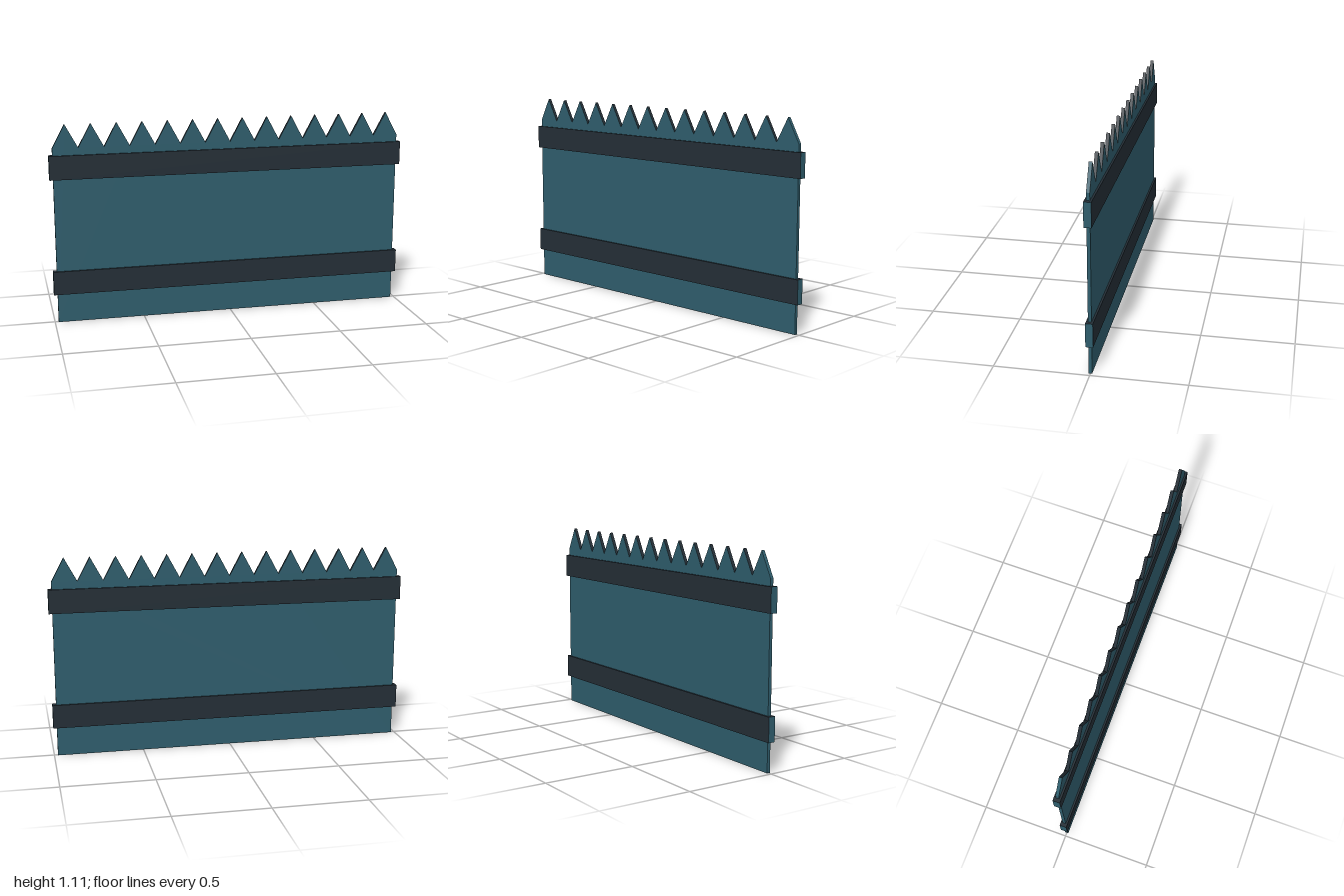
import * as THREE from 'three';

const teal = new THREE.MeshStandardMaterial({ color: 0x2f5d6c });
teal.name = 'teal paint';
const dark = new THREE.MeshStandardMaterial({ color: 0x242e36 });
dark.name = 'dark slate';

const PICKETS = 14, HALF = 0.98, SHOULDER = 0.98, PEAK = 1.11, THICK = 0.018;
const STEP = (2 * HALF) / PICKETS;

// Fence panel with a sawtooth top; the inner slopes of the teeth are dark
function makePanel() {
  const shape = new THREE.Shape();
  shape.moveTo(-HALF, 0);
  shape.lineTo(HALF, 0);
  shape.lineTo(HALF, SHOULDER);
  for (let i = PICKETS - 1; i >= 0; i--) {
    const x = -HALF + i * STEP;
    shape.lineTo(x + STEP / 2, PEAK);
    shape.lineTo(x, SHOULDER);
  }
  shape.closePath();
  const geo = new THREE.ExtrudeGeometry(shape, { depth: THICK, bevelEnabled: false });
  geo.translate(0, 0, -THICK / 2);

  // Choose the colour of each triangle by its direction and place
  const pos = geo.attributes.position, nor = geo.attributes.normal;
  geo.clearGroups();
  for (let i = 0; i < pos.count; i += 3) {
    const cx = (pos.getX(i) + pos.getX(i + 1) + pos.getX(i + 2)) / 3;
    const slope = nor.getY(i) > 0.1 && Math.abs(cx) < HALF - STEP / 2;
    geo.addGroup(i, 3, slope ? 1 : 0);
  }
  const mesh = new THREE.Mesh(geo, [teal, dark]);
  mesh.name = 'picketPanel';
  return mesh;
}

// Dark cross rail with teal ends, standing proud of both faces
function makeRail(name, bottom) {
  const geo = new THREE.BoxGeometry(2, 0.132, 0.039);
  const mesh = new THREE.Mesh(geo, [teal, teal, dark, dark, dark, dark]);
  mesh.position.y = bottom + 0.066;
  mesh.name = name;
  return mesh;
}

export function createModel() {
  const fence = new THREE.Group();
  fence.name = 'picketFence';
  fence.add(makePanel(), makeRail('lowerRail', 0.161), makeRail('upperRail', 0.808));
  return fence;
}
